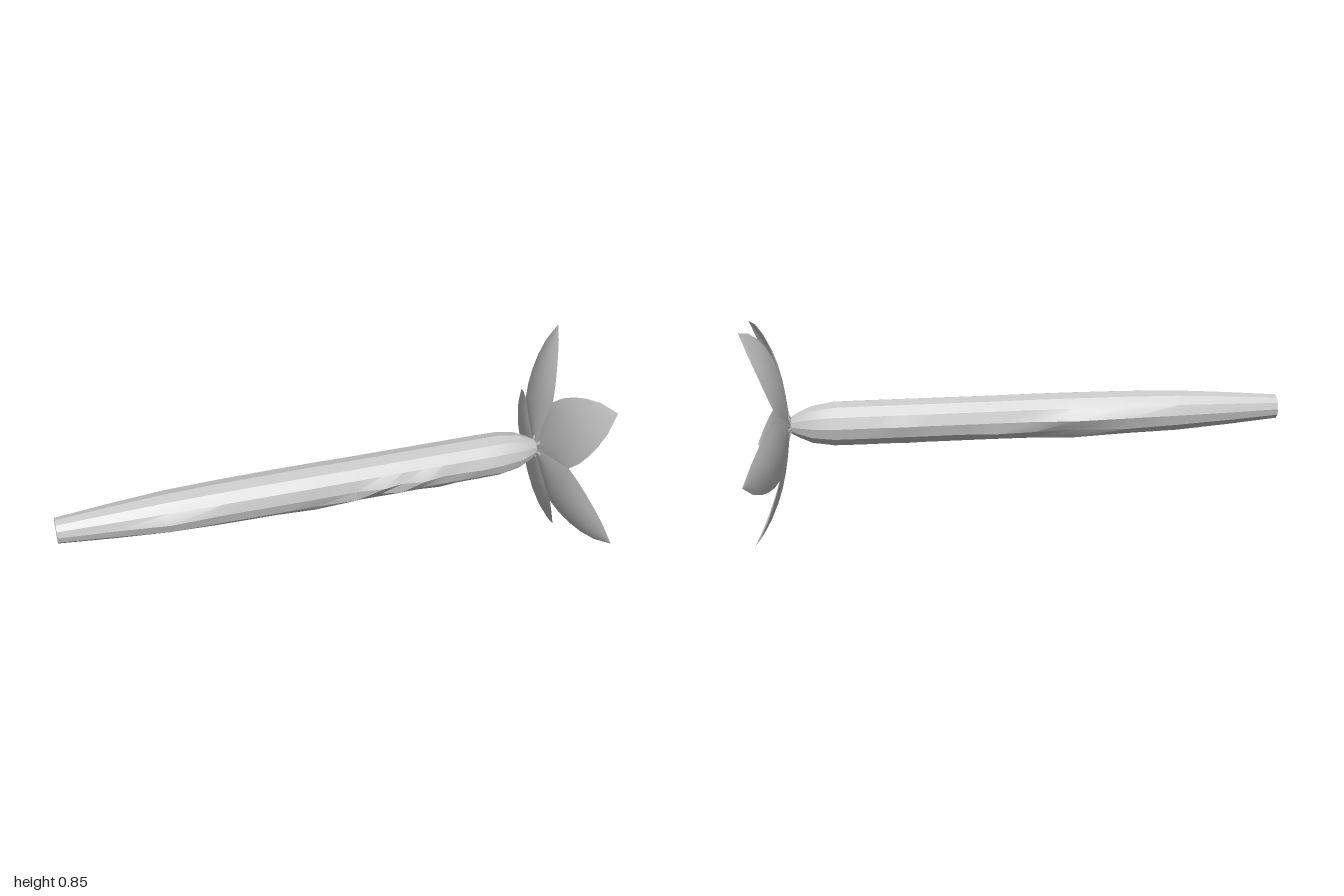
import * as THREE from 'three';
import { toCreasedNormals } from 'three/addons/utils/BufferGeometryUtils.js';

const CY = 0.452, CZ = 0.018; // axis of the stem
const grey = new THREE.MeshStandardMaterial({ color: 0xc8c8c8, side: THREE.DoubleSide });
grey.name = 'paleGrey';

// shallow knots on the stem: [x, angle from the front in degrees, height]
const KNOTS = [
  [-0.6, 0, 0.01], [-0.6, -30, 0.005], [0.2, 0, 0.013], [0.36, 0, 0.013], [0.2, -30, -0.004],
  [0.1, -30, 0.006], [0.28, -30, 0.006], [0.44, -60, 0.005], [0.44, -90, 0.004], [0.6, 0, 0.005],
  [-0.05, -60, 0.006], [-0.05, 30, 0.004], [-0.2, 180, 0.014], [-0.4, 180, 0.006], [0.44, 180, 0.004],
  [-0.2, 210, -0.004], [-0.4, 210, 0.006], [-0.2, 240, 0.006], [0.1, 210, 0.005],
];

function createStem() {
  const radius = [[-1, 0.047], [-0.8, 0.064], [-0.6, 0.078], [-0.4, 0.083], [-0.2, 0.085], [-0.05, 0.085],
    [0.1, 0.084], [0.2, 0.084], [0.28, 0.084], [0.36, 0.084], [0.44, 0.084], [0.52, 0.084], [0.6, 0.084],
    [0.69, 0.083], [0.77, 0.07], [0.82, 0.047], [0.846, 0.031]];
  const profile = [[-1, 0], ...radius, [0.848, 0]].map(([x, r]) => new THREE.Vector2(r, x));
  const geo = new THREE.LatheGeometry(profile, 12).rotateZ(-Math.PI / 2);
  const p = geo.attributes.position;
  for (let i = 0; i < p.count; i++) {
    const x = p.getX(i), y = p.getY(i), z = p.getZ(i), r = Math.hypot(y, z);
    if (r < 0.04) continue;
    for (const [kx, deg, h] of KNOTS) {
      const a = THREE.MathUtils.degToRad(deg);
      const facing = (y * Math.sin(a) + z * Math.cos(a)) / r;
      if (Math.abs(x - kx) < 0.01 && facing > 0.99) p.setXYZ(i, x, y * (1 + h / r), z * (1 + h / r));
    }
  }
  return new THREE.Mesh(toCreasedNormals(geo, 0.4), grey);
}

// cupped petal: cross-sections [distance from the centre, half width]
function createPetal() {
  const rows = [[0, 0], [0.06, 0.0438], [0.12, 0.0875], [0.178, 0.1297], [0.235, 0.1275],
    [0.292, 0.114], [0.346, 0.092], [0.402, 0.057], [0.455, 0]];
  const n = 8, pos = [], index = [];
  rows.forEach(([r, half], i) => {
    const t = r / 0.455;
    const cup = 0.018 * Math.sin(Math.PI * Math.pow(t, 1.3));
    for (let j = 0; j <= n; j++) {
      const u = j / n * 2 - 1;
      pos.push(0.045 * t + 0.105 * t ** 3 + cup * u * u, half * u, r);
      if (i && j) {
        const d = i * (n + 1) + j, c = d - 1, b = d - n - 1, a = b - 1;
        index.push(a, b, c, b, d, c);
      }
    }
  });
  const geo = new THREE.BufferGeometry();
  geo.setAttribute('position', new THREE.Float32BufferAttribute(pos, 3));
  geo.setIndex(index);
  geo.computeVertexNormals();
  return new THREE.Mesh(geo, grey);
}

// small pointed stamen that starts behind the petal and pierces it
function createStamen() {
  const pts = [[0, 0], [0.006, 0.02], [0.011, 0.05], [0.008, 0.076], [0, 0.102]]
    .map(([r, y]) => new THREE.Vector2(r, y));
  const geo = new THREE.LatheGeometry(pts, 6).scale(0.35, 1, 1);
  geo.rotateX(Math.PI / 2).rotateY(0.54).translate(-0.02, 0, 0);
  return new THREE.Mesh(geo, grey);
}

export function createModel() {
  const group = new THREE.Group();
  const stem = createStem();
  stem.name = 'stem';
  stem.position.set(0, CY, CZ);
  group.add(stem);

  const flower = new THREE.Group();
  flower.name = 'flower';
  flower.position.set(0.85, CY, CZ);
  for (let i = 0; i < 5; i++) {
    const petal = createPetal();
    petal.name = 'petal' + (i + 1);
    petal.rotation.x = -THREE.MathUtils.degToRad(46.3 + 72 * i);
    const stamen = createStamen();
    stamen.name = 'stamen' + (i + 1);
    stamen.rotation.x = -THREE.MathUtils.degToRad(54 + 72 * i);
    flower.add(petal, stamen);
  }
  group.add(flower);
  return group;
}
